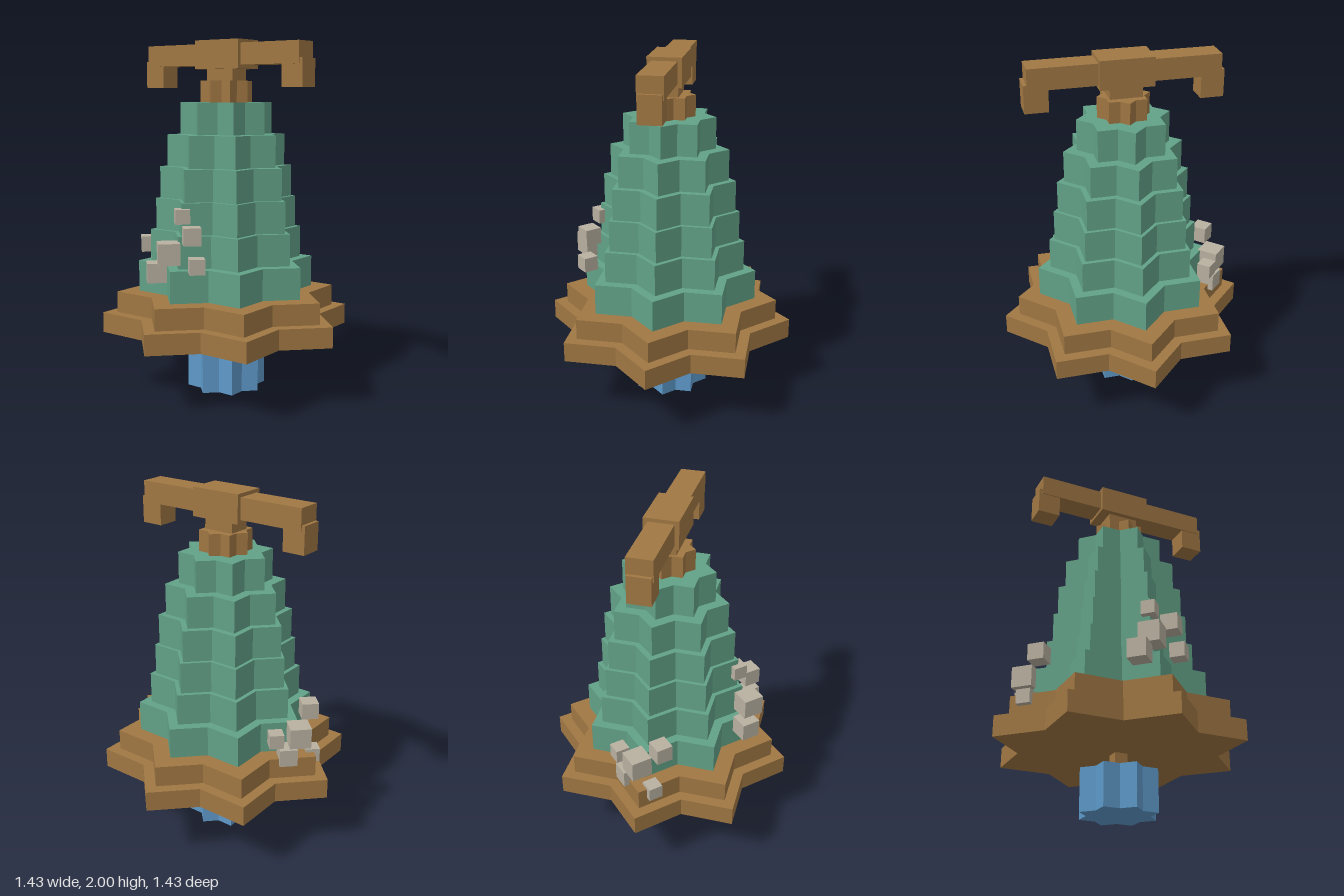
import * as THREE from 'three';

export function createModel() {
  const model = new THREE.Group();
  model.name = 'tieredBell';

  const material = (name, color) => {
    const m = new THREE.MeshStandardMaterial({ color });
    m.name = name;
    return m;
  };
  const bronze = material('bronze', 0xa07743);
  const green = material('green', 0x62a287);
  const blue = material('blue', 0x5e9aca);
  const stone = material('stone', 0xb8b0a0);

  const add = (name, geometry, mat, x = 0, y = 0, z = 0, parent = model) => {
    const mesh = new THREE.Mesh(geometry, mat);
    mesh.name = name;
    mesh.position.set(x, y, z);
    parent.add(mesh);
    return mesh;
  };
  const box = (name, mat, w, h, d, x, y, z, parent) =>
    add(name, new THREE.BoxGeometry(w, h, d), mat, x, y, z, parent);

  // Eight-pointed star slab: the outline of two crossed squares
  const star = (name, mat, radius, bottom, top) => {
    const points = [];
    for (let i = 0; i < 16; i++) {
      const r = i % 2 ? radius * 0.7654 : radius;
      const a = (i * Math.PI) / 8;
      points.push(new THREE.Vector2(r * Math.cos(a), r * Math.sin(a)));
    }
    const geometry = new THREE.ExtrudeGeometry(new THREE.Shape(points), {
      depth: top - bottom, bevelEnabled: false,
    });
    geometry.rotateX(-Math.PI / 2);
    return add(name, geometry, mat, 0, bottom, 0);
  };

  // Clapper and its stem
  star('clapper', blue, 0.226, 0, 0.24);
  box('clapperStem', bronze, 0.073, 0.11, 0.073, 0, 0.29, 0);

  // Flared rim
  star('lowerRim', bronze, 0.717, 0.34, 0.456);
  star('upperRim', bronze, 0.634, 0.456, 0.576);

  // Body tiers: radius, bottom, top
  [
    [0.507, 0.578, 0.756], [0.437, 0.757, 0.936], [0.405, 0.937, 1.115],
    [0.38, 1.116, 1.295], [0.338, 1.297, 1.475], [0.262, 1.477, 1.655],
  ].forEach(([r, bottom, top], i) => star(`bodyTier${i + 1}`, green, r, bottom, top));
  star('collar', bronze, 0.147, 1.655, 1.775);

  // Crossbar with hanging ends
  box('neck', bronze, 0.18, 0.08, 0.13, 0, 1.805, 0);
  box('crossbarBlock', bronze, 0.3, 0.16, 0.19, 0, 1.92, 0);
  for (const side of [-1, 1]) {
    const label = side > 0 ? 'left' : 'right';
    box(`${label}Arm`, bronze, 0.38, 0.12, 0.14, side * 0.335, 1.92, 0);
    box(`${label}ArmEnd`, bronze, 0.13, 0.153, 0.128, side * 0.479, 1.814, 0);
  }

  // Stone cubes turned 45 degrees: size, x, y, z
  const cluster = (name, cubes) => {
    const group = new THREE.Group();
    group.name = name;
    model.add(group);
    cubes.forEach(([s, x, y, z], i) => {
      box(`${name}Cube${i + 1}`, stone, s, s, s, x, y, z, group).rotation.y = Math.PI / 4;
    });
  };
  cluster('frontStones', [
    [0.08, 0, 1.045, 0.4], [0.095, 0.105, 0.953, 0.448], [0.119, -0.031, 0.85, 0.48],
    [0.084, 0.143, 0.796, 0.455], [0.106, -0.11, 0.741, 0.489],
  ]);
  cluster('sideStones', [
    [0.094, -0.515, 0.805, 0.095], [0.119, -0.537, 0.7, -0.035], [0.08, -0.466, 0.7, -0.157],
    [0.1, -0.507, 0.593, -0.1], [0.08, -0.565, 0.555, 0.06],
  ]);

  return model;
}
